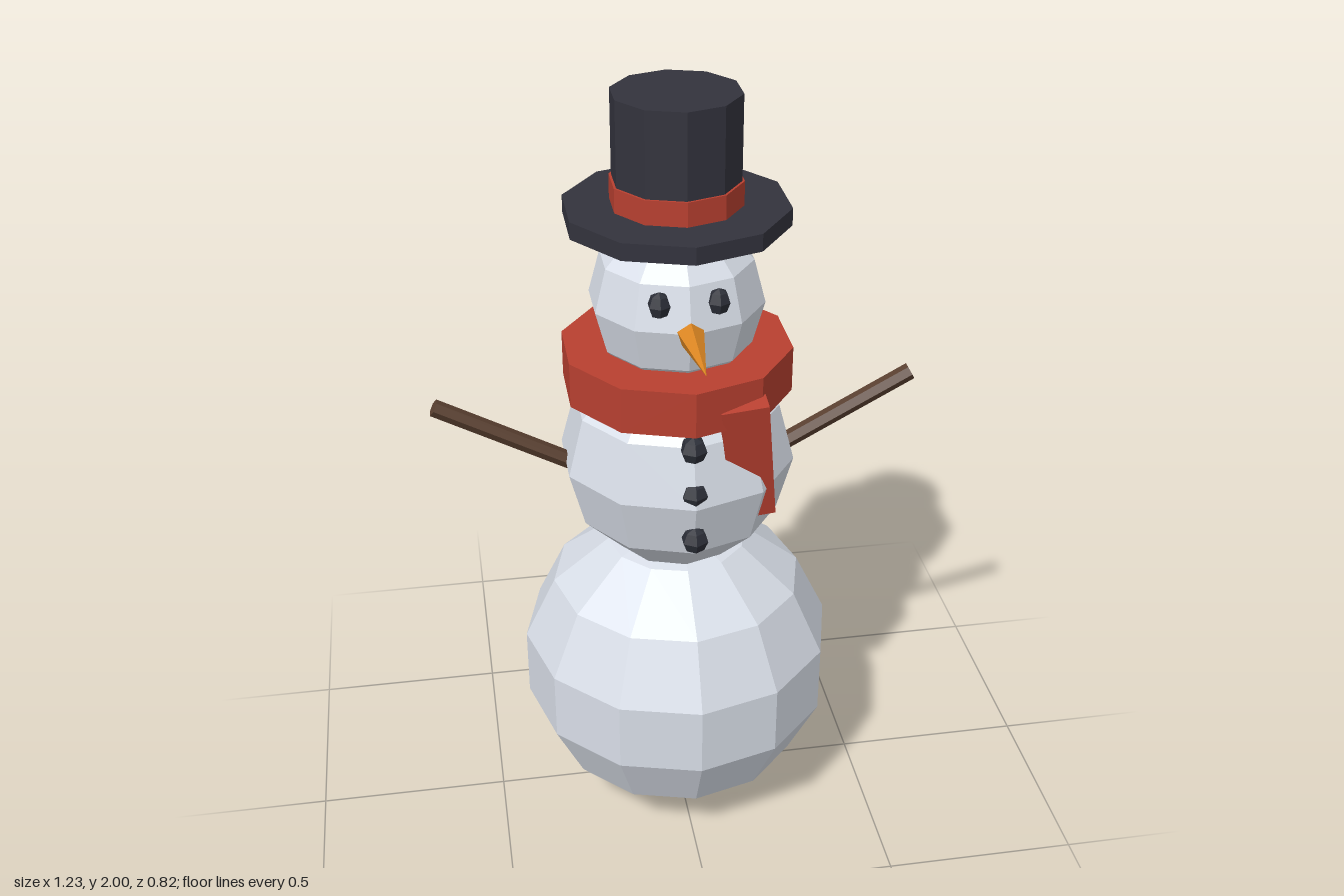
import * as THREE from 'three';

const paint = (name, color) => {
  const m = new THREE.MeshStandardMaterial({ color, flatShading: true });
  m.name = name;
  return m;
};

export function createModel() {
  const model = new THREE.Group();
  model.name = 'snowman';
  const snow = paint('snow', 0xe0e6f0);
  const felt = paint('black felt', 0x33333d);
  const wool = paint('red wool', 0xb84030);
  const orange = paint('carrot orange', 0xdc8622);
  const wood = paint('brown wood', 0x5a4030);
  const coal = paint('coal', 0x2c2f38);

  const add = (name, geometry, material, x = 0, y = 0, z = 0) => {
    const mesh = new THREE.Mesh(geometry, material);
    mesh.name = name;
    mesh.position.set(x, y, z);
    model.add(mesh);
    return mesh;
  };

  // Faceted ball with a seam of corners facing front
  const ball = (r, around, rings) => new THREE.SphereGeometry(r, around, rings).rotateY(Math.PI / 2);

  // Ten-sided drum from y0 to y1
  const drum = (name, r, y0, y1, material) =>
    add(name, new THREE.CylinderGeometry(r, r, y1 - y0, 10), material, 0, (y0 + y1) / 2, -0.003);

  // Snowballs
  add('lowerBody', ball(0.42, 12, 7), snow, 0, 0.425, -0.002);
  add('upperBody', ball(0.3, 10, 6), snow, 0, 1.06, -0.002);
  add('head', ball(0.217, 10, 6), snow, 0, 1.49, -0.002);

  // Top hat
  drum('hatBrim', 0.275, 1.69, 1.733, felt);
  drum('hatBand', 0.161, 1.733, 1.793, wool);
  drum('hatCrown', 0.155, 1.733, 2, felt);

  // Scarf and its hanging tail
  drum('scarf', 0.289, 1.255, 1.372, wool);
  const tail = add('scarfTail', new THREE.BoxGeometry(0.115, 0.345, 0.05), wool, 0.14, 1.145, 0.215);
  tail.rotation.set(0.18, 0, 0.11);

  // Carrot nose
  add('nose', new THREE.ConeGeometry(0.037, 0.23, 5).rotateZ(Math.PI).rotateX(-Math.PI / 2), orange, 0, 1.485, 0.295);

  // Coal buttons, following the curve of the belly
  for (const [y, z] of [[1.205, 0.253], [1.09, 0.268], [0.965, 0.278]])
    add('button', ball(0.035, 6, 4), coal, 0, y, z);

  // Eyes and stick arms, mirrored
  for (const s of [-1, 1]) {
    add(s > 0 ? 'leftEye' : 'rightEye', ball(0.031, 6, 4), coal, s * 0.07, 1.555, 0.18)
      .scale.set(0.92, 1.08, 0.9);

    const from = new THREE.Vector3(s * 0.2, 1.013, 0);
    const to = new THREE.Vector3(s * 0.605, 1.235, 0);
    const arm = add(s > 0 ? 'leftArm' : 'rightArm',
      new THREE.CylinderGeometry(0.022, 0.022, from.distanceTo(to), 6), wood);
    arm.position.lerpVectors(from, to, 0.5);
    arm.rotation.z = -s * Math.atan2(0.405, 0.222);
  }
  return model;
}
